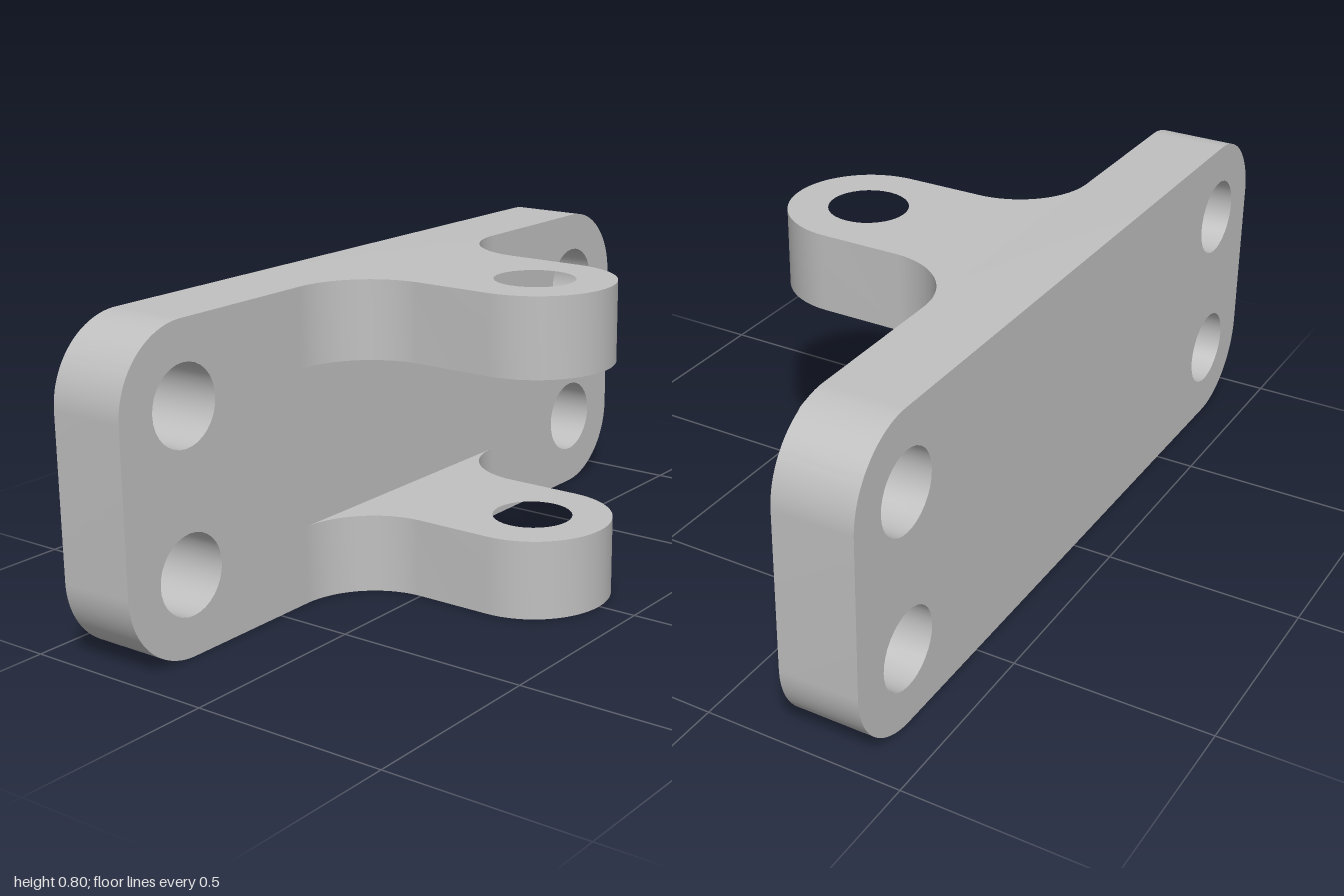
import * as THREE from 'three';
import { toCreasedNormals } from 'three/addons/utils/BufferGeometryUtils.js';

const DEPTH = 0.2; // thickness of plate and lugs
const R = 0.2;     // corner, fillet and lug radius
const HOLE = 0.1;  // hole radius

function drill(shape, x, y) {
  const hole = new THREE.Path();
  hole.absarc(x, y, HOLE, 0, Math.PI * 2, true);
  shape.holes.push(hole);
}

function extrude(shape) {
  return new THREE.ExtrudeGeometry(shape, { depth: DEPTH, bevelEnabled: false, curveSegments: 16 });
}

export function createModel() {
  const group = new THREE.Group();
  group.name = 'mountingBracket';
  const metal = new THREE.MeshStandardMaterial({ color: 0xc0c0c0 });
  metal.name = 'grey metal';

  const add = (geometry, name) => {
    const mesh = new THREE.Mesh(toCreasedNormals(geometry, 0.6), metal);
    mesh.name = name;
    group.add(mesh);
    return mesh;
  };

  // Back plate with rounded corners and four bolt holes
  const plate = new THREE.Shape();
  plate.absarc(0.8, 0.6, R, 0, Math.PI / 2);
  plate.absarc(-0.8, 0.6, R, Math.PI / 2, Math.PI);
  plate.absarc(-0.8, 0.2, R, Math.PI, Math.PI * 1.5);
  plate.absarc(0.8, 0.2, R, Math.PI * 1.5, Math.PI * 2);
  for (const x of [-0.8, 0.8]) for (const y of [0.2, 0.6]) drill(plate, x, y);
  add(extrude(plate), 'backPlate').position.z = -0.4;

  // Lug outline (shape y is -z): fillets at the plate, round end with pin hole
  const lug = new THREE.Shape();
  lug.absarc(0.4, 0, R, Math.PI / 2, Math.PI);
  lug.absarc(0, -0.2, R, 0, -Math.PI, true);
  lug.absarc(-0.4, 0, R, 0, Math.PI / 2);
  drill(lug, 0, -0.2);
  for (const [name, y] of [['lowerLug', 0], ['upperLug', 0.6]]) {
    add(extrude(lug).rotateX(-Math.PI / 2), name).position.y = y;
  }
  return group;
}
